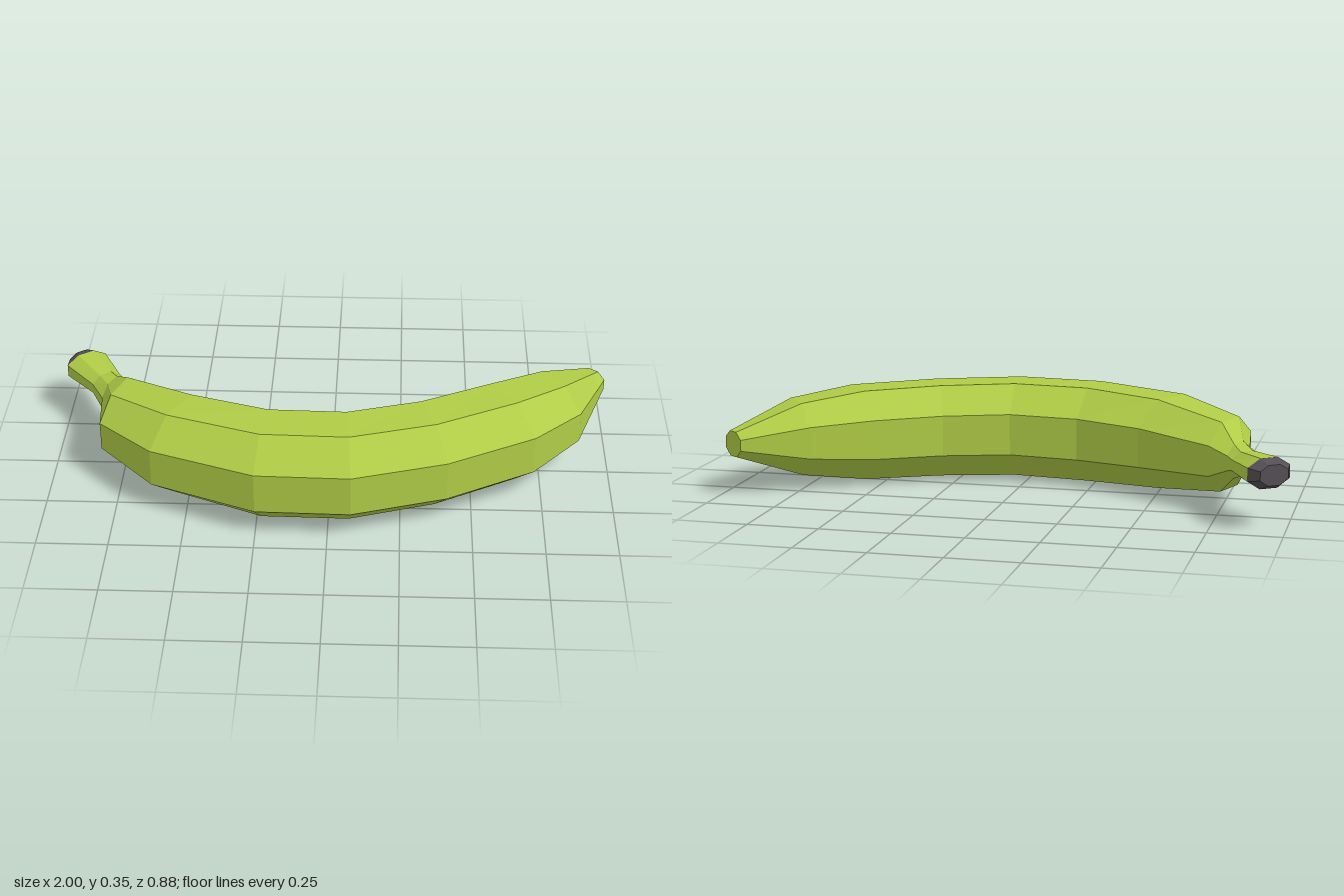
import * as THREE from 'three';

// Cross-sections from stem to tip: outer x, outer z, inner x, inner z, centre y, half height
const sections = [
  [-1.0, -0.385, -0.915, -0.445, 0.185, 0.035],
  [-1.0, -0.33, -0.87, -0.422, 0.183, 0.052],
  [-0.89, -0.21, -0.80, -0.285, 0.183, 0.043],
  [-0.84, -0.11, -0.78, -0.25, 0.18, 0.06],
  [-0.82, 0.09, -0.71, -0.20, 0.172, 0.122],
  [-0.62, 0.285, -0.44, -0.045, 0.172, 0.160],
  [-0.25, 0.428, -0.20, 0.045, 0.172, 0.172],
  [0.08, 0.44, 0.05, 0.055, 0.176, 0.171],
  [0.41, 0.335, 0.28, -0.02, 0.175, 0.168],
  [0.72, 0.16, 0.50, -0.14, 0.173, 0.163],
  [0.89, -0.02, 0.70, -0.26, 0.176, 0.131],
  [1.0, -0.31, 0.92, -0.37, 0.18, 0.045],
];

// Octagon with flat top, bottom, outer and inner sides: [across, up]
const octagon = [
  [1, -0.42], [1, 0.45], [0.41, 1], [-0.41, 1],
  [-1, 0.45], [-1, -0.42], [-0.41, -1], [0.41, -1],
];

function ring([ox, oz, ix, iz, y, h]) {
  return octagon.map(([u, v]) => new THREE.Vector3(
    (ox + ix) / 2 + u * (ox - ix) / 2, y + v * h, (oz + iz) / 2 + u * (oz - iz) / 2));
}

// Flat-sided skin through a run of sections, with optional end faces
function loft(run, closeStart, closeEnd) {
  const rings = run.map(ring);
  const n = octagon.length;
  const points = [];
  for (let i = 0; i < rings.length - 1; i++) {
    for (let k = 0; k < n; k++) {
      const j = (k + 1) % n;
      const a = rings[i][k], b = rings[i][j], c = rings[i + 1][k], d = rings[i + 1][j];
      points.push(a, c, d, a, d, b);
    }
  }
  const first = rings[0], last = rings[rings.length - 1];
  for (let k = 1; k < n - 1; k++) {
    if (closeStart) points.push(first[0], first[k], first[k + 1]);
    if (closeEnd) points.push(last[0], last[k + 1], last[k]);
  }
  const geometry = new THREE.BufferGeometry().setFromPoints(points);
  geometry.computeVertexNormals();
  return geometry;
}

function material(name, color) {
  const m = new THREE.MeshStandardMaterial({ color, flatShading: true });
  m.name = name;
  return m;
}

export function createModel() {
  const group = new THREE.Group();
  group.name = 'banana';

  // Green peel with neck and blunt tip
  const peel = new THREE.Mesh(loft(sections.slice(1), false, true), material('green peel', 0xb0cc46));
  peel.name = 'peel';

  // Dark cut end of the stem
  const stemEnd = new THREE.Mesh(loft(sections.slice(0, 2), true, false), material('dark stem', 0x554f55));
  stemEnd.name = 'stemEnd';

  group.add(peel, stemEnd);
  return group;
}
